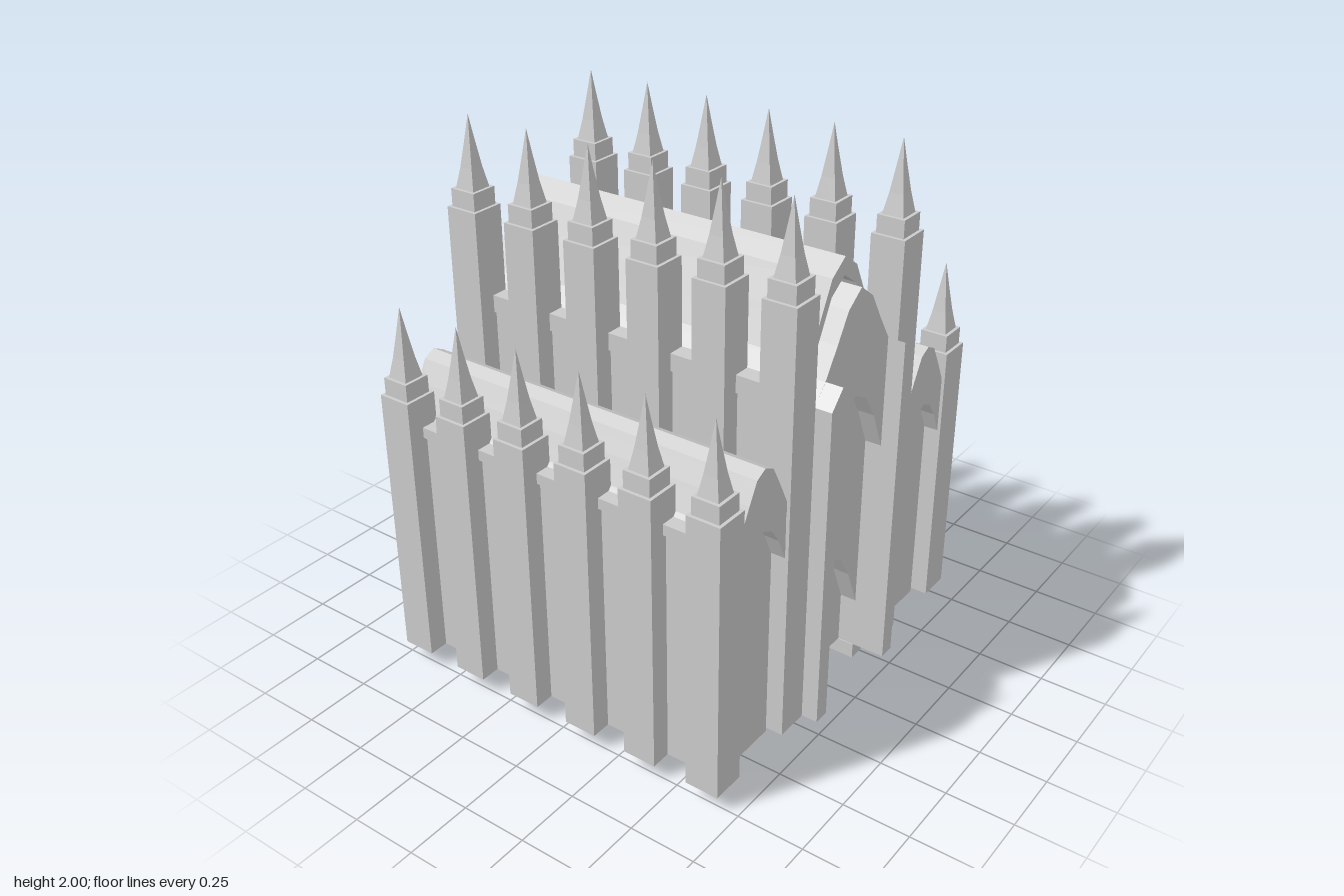
import * as THREE from 'three';

export function createModel() {
  const model = new THREE.Group();
  const stone = new THREE.MeshStandardMaterial({ color: 0xcccccc });
  stone.name = 'stone';
  const MID = -0.031; // the hall mirrors front to back about this plane

  function add(name, geometry, parent = model) {
    const mesh = new THREE.Mesh(geometry, stone);
    mesh.name = name;
    parent.add(mesh);
    return mesh;
  }

  function box(name, x0, x1, y0, y1, z0, z1, parent = model) {
    const g = new THREE.BoxGeometry(Math.abs(x1 - x0), y1 - y0, Math.abs(z1 - z0));
    g.translate((x0 + x1) / 2, (y0 + y1) / 2, (z0 + z1) / 2);
    return add(name, g, parent);
  }

  // outline in x and y, pushed from z0 to z1
  function slab(name, points, z0, z1) {
    const shape = new THREE.Shape(points.map(([x, y]) => new THREE.Vector2(x, y)));
    const g = new THREE.ExtrudeGeometry(shape, { depth: z1 - z0, bevelEnabled: false });
    g.translate(0, 0, z0);
    return add(name, g);
  }

  // half curve (centre outwards) to a full curve running left to right
  const both = (half, cx = 0) => [
    ...half.slice(1).reverse().map(([x, y]) => [cx - x, y]),
    ...half.map(([x, y]) => [cx + x, y]),
  ];

  // pointed arch, from centre outwards
  const arch = (w, spring, apex) =>
    [[0, 0], [0.37, 0.14], [0.67, 0.47], [1, 1]].map(([t, d]) => [t * w, apex - d * (apex - spring)]);

  // wall with a curved top and an arched opening that reaches its foot
  function archedWall(name, top, opening, foot, z0, z1, cx = 0) {
    const wTop = top[top.length - 1][0], wArch = opening[opening.length - 1][0];
    slab(name, [
      [cx - wTop, foot], ...both(top, cx), [cx + wTop, foot],
      [cx + wArch, foot], ...both(opening, cx).reverse(), [cx - wArch, foot],
    ], z0, z1);
  }

  function vaultRoof(name, half, thickness, z0, z1, cx = 0) {
    const outer = both(half, cx);
    slab(name, [...outer, ...outer.map(([x, y]) => [x, y - thickness]).reverse()], z0, z1);
  }

  // runs a builder for the front and for the mirrored back
  function frontAndBack(z0, z1, build) {
    build(z0, z1);
    build(2 * MID - z1, 2 * MID - z0);
  }

  // four-sided concave spire
  const spireProfile = [[0.04, 0], [0.026, 0.075], [0.013, 0.165], [0, 0.26]]
    .map(([r, y]) => new THREE.Vector2(r * Math.SQRT2, y));
  const spire = new THREE.LatheGeometry(spireProfile, 4, Math.PI / 4).toNonIndexed();
  spire.computeVertexNormals();

  // tower rows: tall ones beside the nave, short ones outside the aisles
  for (const s of [-1, 1]) {
    for (const [kind, x, top] of [['innerTower', 0.325, 1.68], ['outerTower', 0.712, 1.11]]) {
      for (let i = 0; i < 6; i++) {
        const tower = new THREE.Group();
        tower.name = kind;
        tower.position.set(s * x, 0, 0.62 - i * 0.26);
        box('shaft', -0.064, 0.064, 0.06, top, -0.064, 0.064, tower);
        box('cap', -0.052, 0.052, top, top + 0.065, -0.052, 0.052, tower);
        add('spire', spire, tower).position.y = top + 0.065;
        model.add(tower);
      }
    }
  }

  // nave roof and upper walls
  const naveRoof = [[0, 1.7], [0.075, 1.648], [0.135, 1.53], [0.2, 1.405], [0.26, 1.355], [0.325, 1.355]];
  vaultRoof('naveRoof', naveRoof, 0.065, -0.685, 0.615);
  for (const s of [-1, 1]) box('upperNaveWall', s * 0.27, s * 0.315, 0.94, 1.3, -0.68, 0.62);

  // stepped gable walls, each opening smaller than the one before it
  const gable = [[0, 1.61], [0.075, 1.555], [0.135, 1.455], [0.2, 1.355], [0.26, 1.29]];
  frontAndBack(0.618, 0.68, (a, b) => archedWall('gableWall', gable, arch(0.198, 0.94, 1.22), 0.06, a, b));
  frontAndBack(0.556, 0.618, (a, b) => archedWall('portalWall', gable, arch(0.198, 0.26, 0.55), 0.06, a, b));
  frontAndBack(0.495, 0.556, (a, b) =>
    archedWall('doorWall', [[0, 0.9], [0.26, 0.9]], arch(0.08, 0.24, 0.35), 0.06, a, b));

  for (const s of [-1, 1]) {
    // front piers with sloping tops
    slab('frontPier', [[s * 0.26, 0.06], [s * 0.26, 1.29], [s * 0.198, 1.355], [s * 0.198, 0.06]], 0.68, 0.745);
    // feet under the portals
    frontAndBack(0.495, 0.62, (a, b) => box('foot', s * 0.195, s * 0.26, 0, 0.06, a, b));

    // side aisles
    const cx = s * 0.52;
    const aisleRoof = [[0, 1.19], [0.045, 1.168], [0.085, 1.095], [0.128, 1.01], [0.14, 0.995], [0.195, 0.995]];
    vaultRoof('aisleRoof', aisleRoof, 0.04, -0.735, 0.672, cx);
    frontAndBack(0.618, 0.672, (a, b) => {
      slab('aisleGable', [...both(aisleRoof.slice(0, 4), cx), ...both(arch(0.13, 0.79, 0.96), cx).reverse()], a, b);
    });
    frontAndBack(0.556, 0.618, (a, b) => box('aislePanel', s * 0.387, s * 0.648, 0.045, 1.0, a, b));
    box('aisleWall', s * 0.665, s * 0.7, 0.06, 0.96, -0.735, 0.672);
  }

  return model;
}
